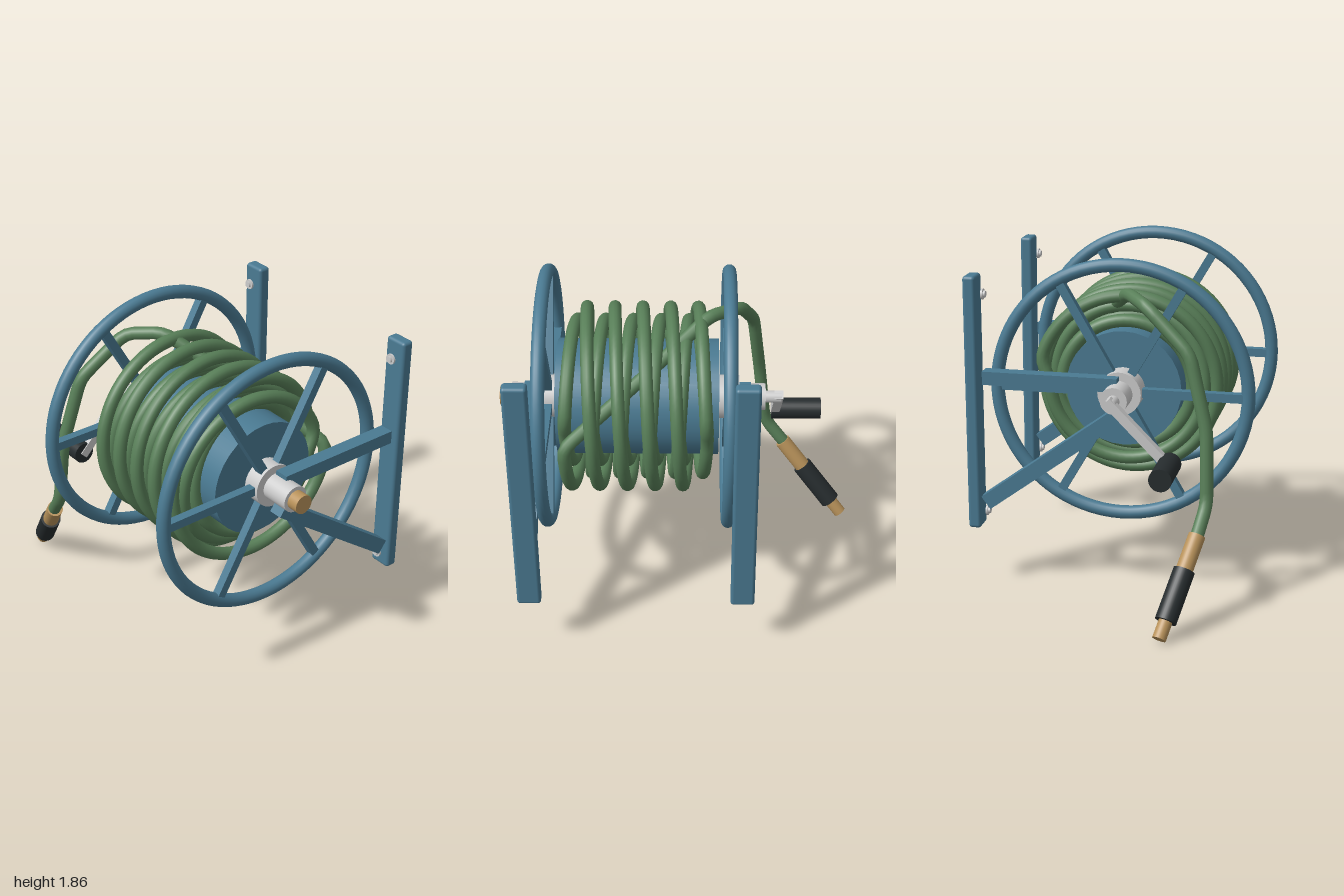
import * as THREE from 'three';
import { RoundedBoxGeometry } from 'three/addons/geometries/RoundedBoxGeometry.js';

const mat = (color) => new THREE.MeshStandardMaterial({ color });
const BLUE = mat(0x4a7a92), GREEN = mat(0x587f58), BRASS = mat(0xb8925a);
const BLACK = mat(0x262c2e), GREY = mat(0xcccccc);
const AY = 1.14, AZ = 0.052; // reel axis
const V = (x, y, z) => new THREE.Vector3(x, y, z);

export function createModel() {
  const root = new THREE.Group();
  const add = (name, geo, material, parent = root) => {
    const m = new THREE.Mesh(geo, material);
    m.name = name;
    parent.add(m);
    return m;
  };

  // Cylinder running between two points
  const rod = (name, a, b, r, material, sides = 32) => {
    const d = b.clone().sub(a);
    const m = add(name, new THREE.CylinderGeometry(r, r, d.length(), sides), material);
    m.position.copy(a).lerp(b, 0.5);
    m.quaternion.setFromUnitVectors(V(0, 1, 0), d.normalize());
    return m;
  };
  const axle = (name, x0, x1, r, material) => rod(name, V(x0, AY, AZ), V(x1, AY, AZ), r, material);

  // Square bar in a plane of constant x, between two [y, z] points
  const bar = (name, x, [y0, z0], [y1, z1], w, h, parent = root) => {
    const m = add(name, new THREE.BoxGeometry(w, h, Math.hypot(y1 - y0, z1 - z0)), BLUE, parent);
    m.position.set(x, (y0 + y1) / 2, (z0 + z1) / 2);
    m.rotation.x = -Math.atan2(y1 - y0, z1 - z0);
    return m;
  };

  // Drum and axle
  axle('drum', -0.21, 0.675, 0.32, BLUE);
  axle('leftHub', 0.675, 0.77, 0.12, GREY);
  axle('rightHub', -0.325, -0.21, 0.12, GREY);
  axle('leftBearing', 0.77, 0.935, 0.074, GREY);
  axle('rightBearing', -0.47, -0.325, 0.074, GREY);
  axle('inletFitting', 0.93, 1.0, 0.053, BRASS);
  axle('crankShaft', -0.56, -0.46, 0.034, GREY);

  // Spoked wheels
  for (const [side, x] of [['left', 0.73], ['right', -0.265]]) {
    const wheel = new THREE.Group();
    wheel.name = side + 'Wheel';
    wheel.position.set(x, AY, AZ);
    root.add(wheel);
    add('rim', new THREE.TorusGeometry(0.693, 0.037, 16, 80), BLUE, wheel).rotation.y = Math.PI / 2;
    for (let i = 0; i < 6; i++) {
      const a = i * Math.PI / 3, s = Math.sin(a), c = Math.cos(a);
      bar('spoke', 0, [0.1 * s, 0.1 * c], [0.68 * s, 0.68 * c], 0.048, 0.048, wheel);
    }
  }

  // Wall bracket on each side
  for (const [side, px, ax] of [['left', 0.815, 0.82], ['right', -0.345, -0.347]]) {
    const post = add(side + 'Post', new RoundedBoxGeometry(0.13, 1.425, 0.07, 3, 0.018), BLUE);
    post.position.set(px, 1.052, -0.752);
    bar(side + 'Arm', ax, [1.202, 0.052], [1.202, -0.695], 0.08, 0.074);
    bar(side + 'Strut', ax, [1.035, 0.06], [0.485, -0.69], 0.08, 0.085);
    for (const y of [0.43, 1.66]) {
      rod('washer', V(px, y, -0.698), V(px, y, -0.687), 0.029, GREY, 20);
      rod('boltHead', V(px, y, -0.688), V(px, y, -0.675), 0.019, GREY, 6);
    }
  }

  // Crank
  const arm = bar('crankArm', -0.545, [1.165, 0.035], [0.82, 0.375], 0.05, 0.05);
  arm.material = GREY;
  rod('crankHandle', V(-0.81, 0.835, 0.37), V(-0.525, 0.835, 0.37), 0.061, BLACK);

  // Hose: three layers wound back and forth, then led across to the nozzle
  const pts = [];
  const TURNS = 5, STEPS = 24, X0 = -0.148, X1 = 0.62;
  for (let layer = 0; layer < 3; layer++) {
    const r = 0.36 + 0.069 * layer;
    for (let i = layer ? 1 : 0; i <= TURNS * STEPS; i++) {
      const a = i / STEPS * Math.PI * 2;
      const t = i / (TURNS * STEPS);
      const x = THREE.MathUtils.lerp(X0, X1, layer % 2 ? 1 - t : t);
      pts.push(V(x, AY + r * Math.sin(a), AZ - r * Math.cos(a)));
    }
  }
  pts.push(
    V(0.23, 1.4, -0.2), V(-0.16, 1.66, 0.065), V(-0.33, 1.63, 0.2), V(-0.41, 1.4, 0.45),
    V(-0.457, 1.0, 0.552), V(-0.5, 0.615, 0.565), V(-0.63, 0.455, 0.53));
  // rounded corners with straight runs between them
  const path = new THREE.CurvePath();
  let from = pts[0];
  for (let i = 1; i < pts.length - 1; i++) {
    const p = pts[i];
    const near = (q) => p.clone().lerp(q, Math.min(0.5, 0.06 / p.distanceTo(q)));
    const a = near(pts[i - 1]), b = near(pts[i + 1]);
    if (from.distanceTo(a) > 1e-4) path.add(new THREE.LineCurve3(from, a));
    path.add(new THREE.QuadraticBezierCurve3(a, p, b));
    from = b;
  }
  path.add(new THREE.LineCurve3(from, pts[pts.length - 1]));
  add('hose', new THREE.TubeGeometry(path, 1100, 0.036, 12), GREEN);

  // Nozzle
  const n0 = V(-0.61, 0.475, 0.533), n1 = V(-0.972, 0.03, 0.402);
  const at = (t) => n0.clone().lerp(n1, t);
  rod('hoseCoupling', at(0), at(0.38), 0.046, BRASS);
  rod('nozzleGrip', at(0.34), at(0.83), 0.058, BLACK);
  rod('nozzleTip', at(0.82), at(1), 0.037, BRASS);

  return root;
}
